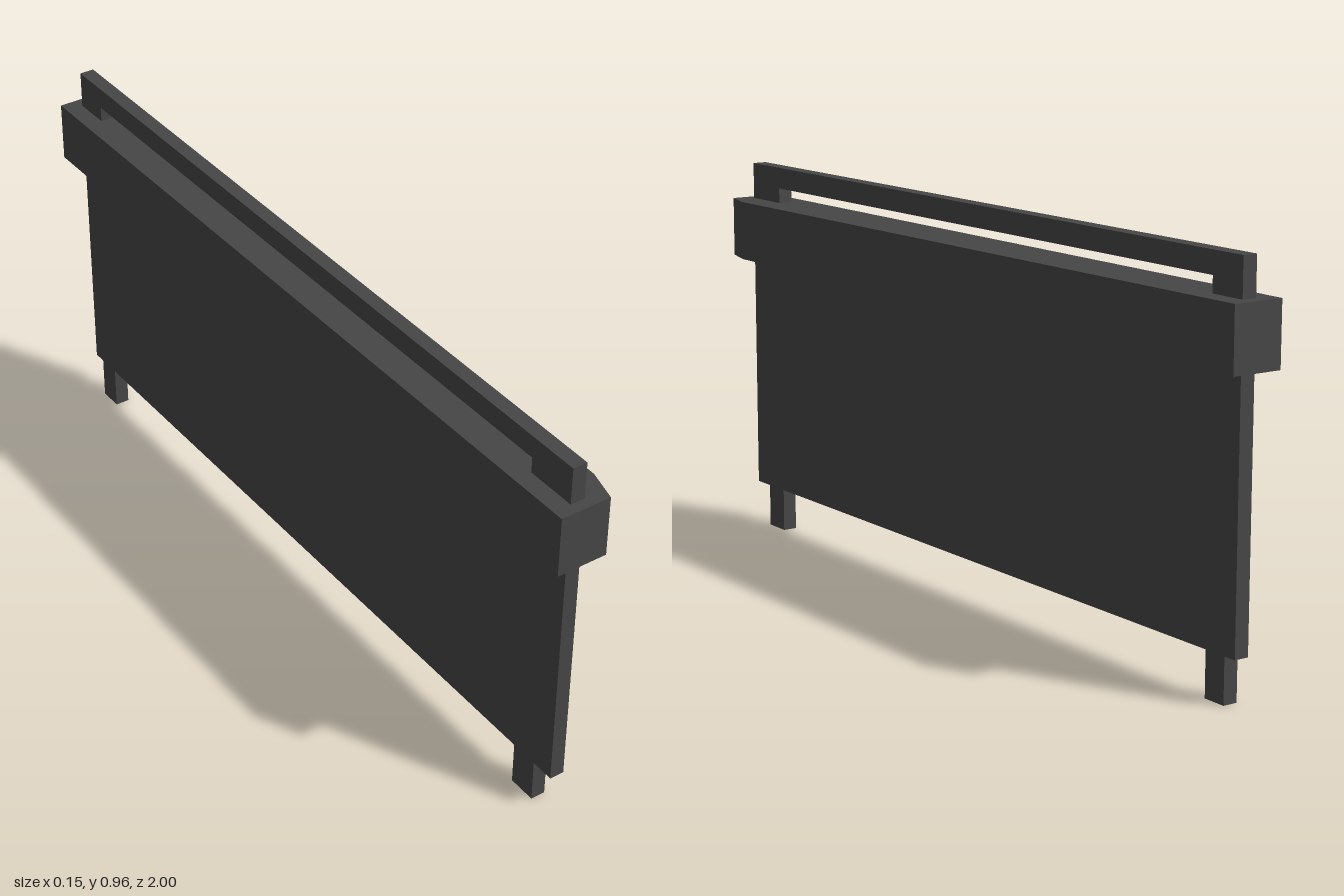
import * as THREE from 'three';

const material = new THREE.MeshStandardMaterial({ color: 0x464646, flatShading: true });

const outline = (points, Type = THREE.Shape) =>
  new Type(points.map(([x, y]) => new THREE.Vector2(x, y)));

const extrude = (shape, depth) =>
  new THREE.ExtrudeGeometry(shape, { depth, bevelEnabled: false });

function addPart(group, name, geometry) {
  const mesh = new THREE.Mesh(geometry, material);
  mesh.name = name;
  group.add(mesh);
}

export function createModel() {
  const group = new THREE.Group();
  group.name = 'panelWithBeam';

  // Upright panel with two feet and a slot under the top rail, drawn as (-z, y)
  const panel = outline([
    [-0.973, 0.108], [-0.915, 0.108], [-0.915, 0], [-0.845, 0], [-0.845, 0.108],
    [0.876, 0.108], [0.876, 0], [0.937, 0], [0.937, 0.108], [0.97, 0.108],
    [0.97, 0.958], [-0.973, 0.958],
  ]);
  panel.holes.push(outline(
    [[-0.845, 0.85], [-0.845, 0.905], [0.876, 0.905], [0.876, 0.85]], THREE.Path));
  const panelGeometry = extrude(panel, 0.036);
  panelGeometry.rotateY(Math.PI / 2).translate(-0.03, 0, 0);
  addPart(group, 'panel', panelGeometry);

  // Beam around the panel, widening toward a chamfered front corner, drawn as (x, -z)
  const beam = outline([
    [-0.074, -1], [0.052, -1], [0.073, -0.92], [0.052, 1], [-0.074, 1],
  ]);
  const beamGeometry = extrude(beam, 0.149);
  beamGeometry.rotateX(-Math.PI / 2).translate(0, 0.718, 0);
  addPart(group, 'beam', beamGeometry);

  return group;
}
